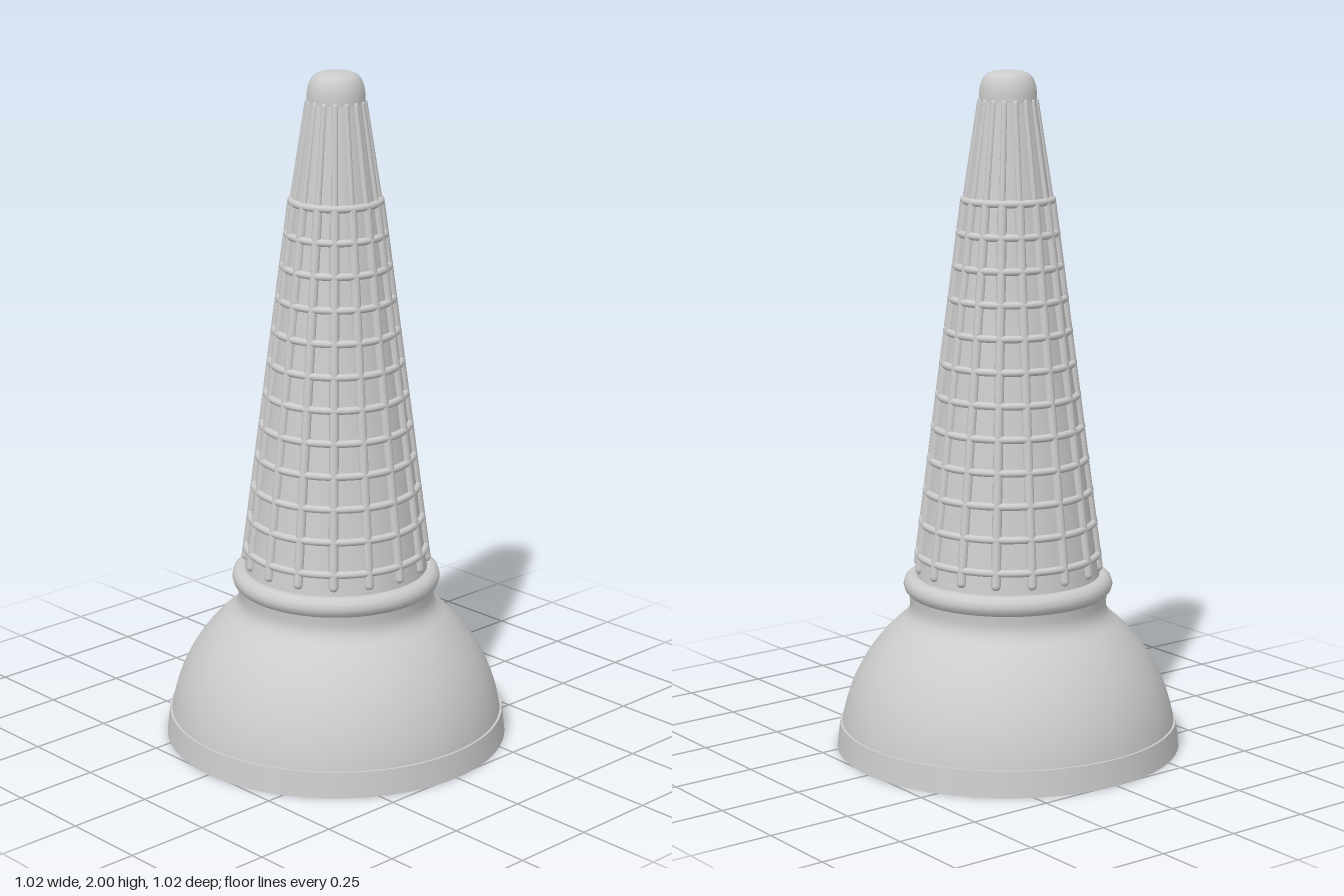
import * as THREE from 'three';

const material = new THREE.MeshStandardMaterial({ color: 0xcccccc });
const RIBS = 16, RINGS = 12;

// Radius of the tapering wafer wall at height y
const wallRadius = (y) => THREE.MathUtils.mapLinear(y, 0.53, 1.63, 0.27, 0.125);

function part(name, geometry, parent) {
  const mesh = new THREE.Mesh(geometry, material);
  mesh.name = name;
  parent.add(mesh);
  return mesh;
}

const lathe = (points, segments = 96) =>
  new THREE.LatheGeometry(points.map(([r, y]) => new THREE.Vector2(r, y)), segments);

// Points along a circular arc centred on the axis
function arc(radius, from, to, steps, squash = 1, lift = 0) {
  return Array.from({ length: steps + 1 }, (_, i) => {
    const a = from + (to - from) * i / steps;
    return [Math.max(0, radius * Math.cos(a)), lift + radius * squash * Math.sin(a)];
  });
}

// Rounded rods lying on a cone, repeated around the axis
function ribs(name, radius, [r0, y0], [r1, y1], parent) {
  const group = new THREE.Group();
  group.name = name;
  const length = Math.hypot(r1 - r0, y1 - y0);
  const geometry = new THREE.CapsuleGeometry(radius, length, 5, 12);
  geometry.rotateZ(Math.atan2(r0 - r1, y1 - y0));
  geometry.translate((r0 + r1) / 2, (y0 + y1) / 2, 0);
  for (let i = 0; i < RIBS; i++) {
    part(name.replace(/s$/, ''), geometry, group).rotation.y = i * Math.PI * 2 / RIBS;
  }
  parent.add(group);
}

function ring(name, radius, tube, y, parent) {
  const geometry = new THREE.TorusGeometry(radius, tube, 12, 96);
  geometry.rotateX(Math.PI / 2);
  part(name, geometry, parent).position.y = y;
}

export function createModel() {
  const model = new THREE.Group();
  model.name = 'upturnedCone';

  // Hollow scoop: outer dome, neck, flat foot and inner bowl
  part('scoopDome', lathe([
    ...arc(0.5, 0.13, 0.9, 24),
    [0.3, 0.405], [0.292, 0.42], [0.29, 0.44], [0.293, 0.46], [0.295, 0.49],
  ]), model);
  part('scoopBand', lathe([[0.51, 0], [0.501, 0.076]]), model);
  part('scoopBandLedge', lathe([[0.501, 0.076], [0.49, 0.076]]), model);
  part('scoopFoot', lathe([[0.41, 0], [0.51, 0]]), model);
  part('scoopInside', lathe(arc(0.41, Math.PI / 2, 0, 24)), model);

  // Rounded lip between scoop and wafer
  ring('lip', 0.278, 0.031, 0.494, model);
  part('lipTop', lathe([[0.285, 0.522], [0.25, 0.522]]), model);

  // Wafer wall with its raised lattice
  part('waferWall', lathe([[wallRadius(0.5), 0.5], [wallRadius(1.63), 1.63]]), model);
  ribs('waferRibs', 0.014, [wallRadius(0.55), 0.55], [wallRadius(1.625), 1.625], model);
  const lattice = new THREE.Group();
  lattice.name = 'waferRings';
  for (let i = 0; i < RINGS; i++) {
    const y = 0.587 + i * (1.63 - 0.587) / (RINGS - 1);
    ring('waferRing', wallRadius(y) + 0.003, 0.011, y, lattice);
  }
  model.add(lattice);

  // Fluted tip with a rounded cap
  part('tipWall', lathe([[0.125, 1.62], [0.082, 1.92]]), model);
  ribs('tipRibs', 0.009, [0.124, 1.63], [0.08, 1.912], model);
  part('tipCap', lathe([
    [0.083, 1.91], [0.0835, 1.935], [0.08, 1.957], [0.073, 1.977],
    [0.062, 1.99], [0.045, 1.997], [0.022, 2], [0, 2],
  ]), model);

  return model;
}
